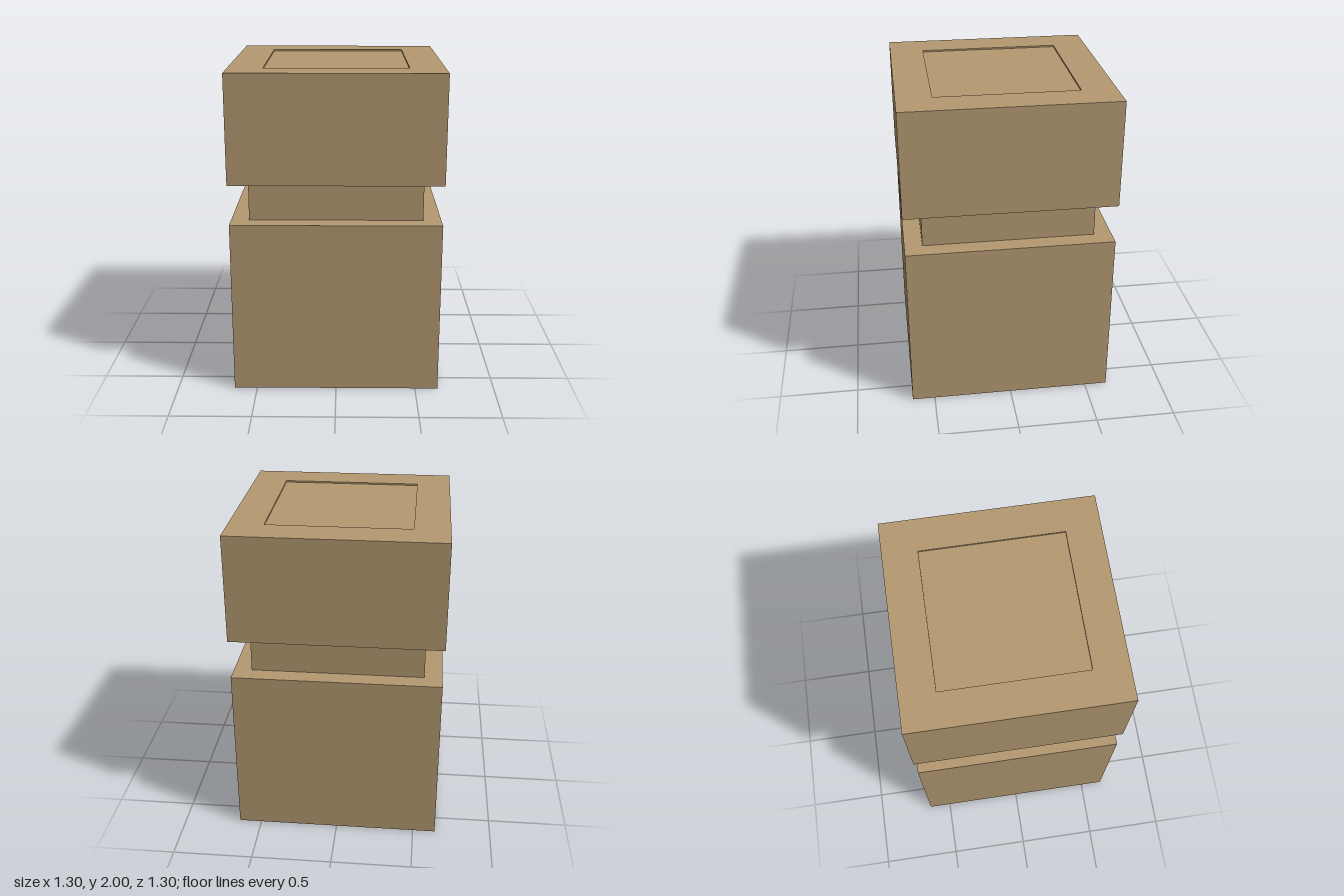
import * as THREE from 'three';

export function createModel() {
  const group = new THREE.Group();
  group.name = 'squareJar';
  const material = new THREE.MeshStandardMaterial({ color: 0xb59a72, flatShading: true });

  const add = (name, geometry) => {
    const mesh = new THREE.Mesh(geometry, material);
    mesh.name = name;
    group.add(mesh);
    return mesh;
  };

  // Square block from a bottom to a top height
  const block = (name, half, y0, y1) => {
    const mesh = add(name, new THREE.BoxGeometry(half * 2, y1 - y0, half * 2));
    mesh.position.y = (y0 + y1) / 2;
  };

  block('body', 0.643, 0, 1.085);
  block('neck', 0.533, 1.085, 1.333);

  // Lid: four-sided turned profile of [half width, height], with a shallow recess on top
  const profile = [
    [0, 1.333], [0.648, 1.333], [0.648, 2], [0.435, 2], [0.435, 1.99], [0, 1.99],
  ].map(([half, y]) => new THREE.Vector2(half * Math.SQRT2, y));
  const lid = new THREE.LatheGeometry(profile, 4, Math.PI / 4).toNonIndexed();
  lid.computeVertexNormals();
  add('lid', lid);

  return group;
}
